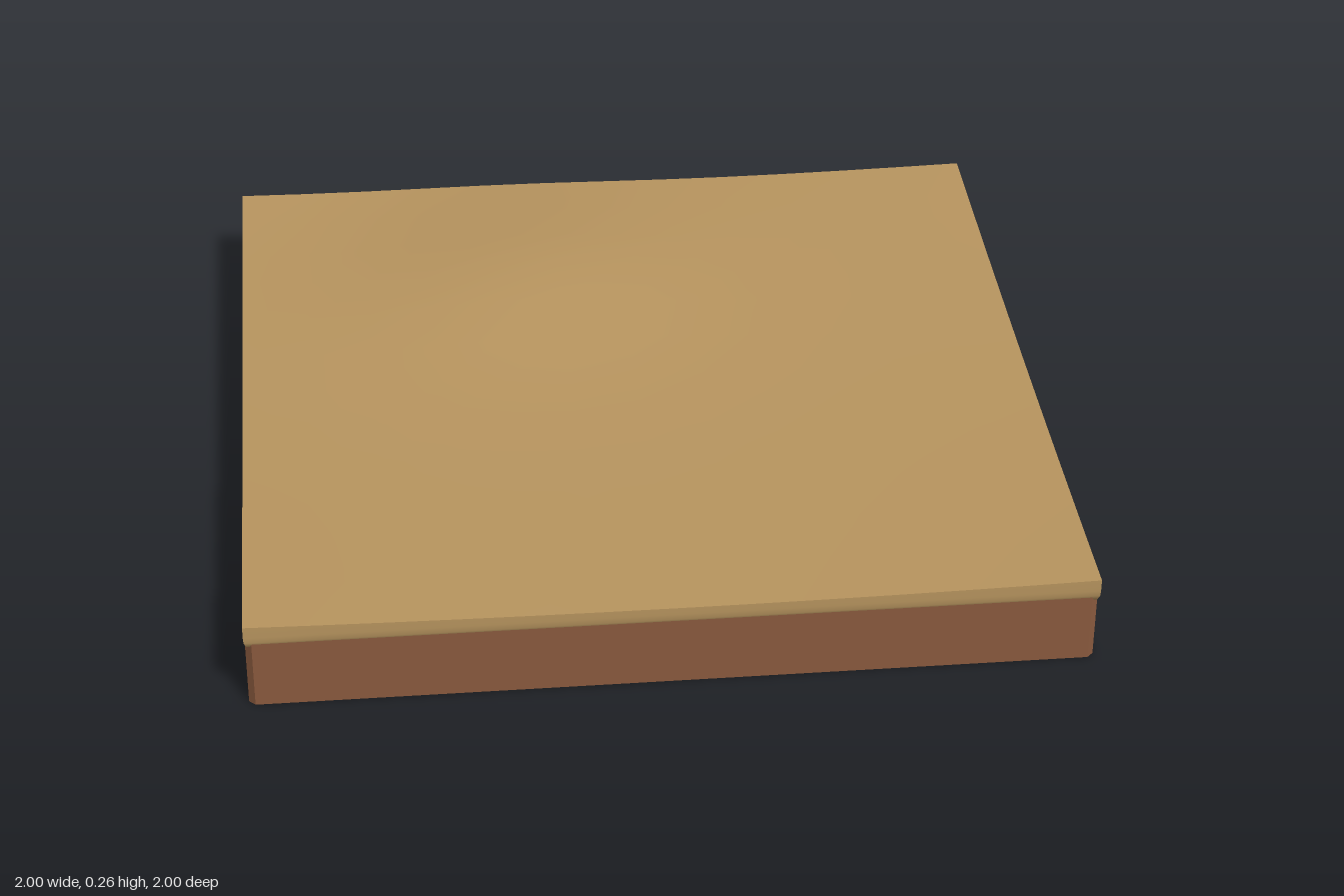
import * as THREE from 'three';

const N = 12; // grid cells per side
const SAND = 0xb8955f;
const DIRT = 0x8a5a3e;

// Ground height: slight sag between raised corners, plus one low dune
function height(x, z) {
  const dune = Math.exp(-((x + 0.25) ** 2) / 0.17 - ((z + 0.5) ** 2) / 0.15);
  return 0.213 + 0.012 * x * x * z * z + 0.051 * dune;
}

function createSandTop(material) {
  const geo = new THREE.PlaneGeometry(2, 2, N, N).rotateX(-Math.PI / 2);
  const p = geo.attributes.position;
  for (let i = 0; i < p.count; i++) p.setY(i, height(p.getX(i), p.getZ(i)));
  geo.computeVertexNormals();
  const mesh = new THREE.Mesh(geo, material);
  mesh.name = 'sandSurface';
  return mesh;
}

// Rolled lip on one side; each row is [distance from centre, y], null = ground height
function createLip(side, material) {
  const profile = [[1, null], [1, 0.195], [0.999, 0.18], [0.994, 0.166], [0.975, 0.163]];
  const geo = new THREE.PlaneGeometry(2, 1, N, profile.length - 1);
  const p = geo.attributes.position;
  const turn = side * Math.PI / 2;
  const c = Math.round(Math.cos(turn)), s = Math.round(Math.sin(turn));
  for (let i = 0; i < p.count; i++) {
    const [r, y] = profile[Math.floor(i / (N + 1))];
    const along = p.getX(i) * r;
    const x = along * c + r * s;
    const z = -along * s + r * c;
    p.setXYZ(i, x, y === null ? height(x, z) : y, z);
  }
  geo.computeVertexNormals();
  const mesh = new THREE.Mesh(geo, material);
  mesh.name = 'sandLip' + (side + 1);
  return mesh;
}

// Earth block with narrow chamfered upright corners
function createDirt(material) {
  const h = 0.997, k = h - 0.015;
  const outline = [[k, -h], [h, -k], [h, k], [k, h], [-k, h], [-h, k], [-h, -k], [-k, -h]];
  const shape = new THREE.Shape(outline.map(([x, y]) => new THREE.Vector2(x, y)));
  const geo = new THREE.ExtrudeGeometry(shape, { depth: 0.185, bevelEnabled: false });
  geo.rotateX(-Math.PI / 2);
  const mesh = new THREE.Mesh(geo, material);
  mesh.name = 'dirtBase';
  return mesh;
}

export function createModel() {
  const group = new THREE.Group();
  group.name = 'groundTile';
  const sand = new THREE.MeshStandardMaterial({ color: SAND });
  const dirt = new THREE.MeshStandardMaterial({ color: DIRT });
  group.add(createDirt(dirt), createSandTop(sand));
  for (let side = 0; side < 4; side++) group.add(createLip(side, sand));
  return group;
}
